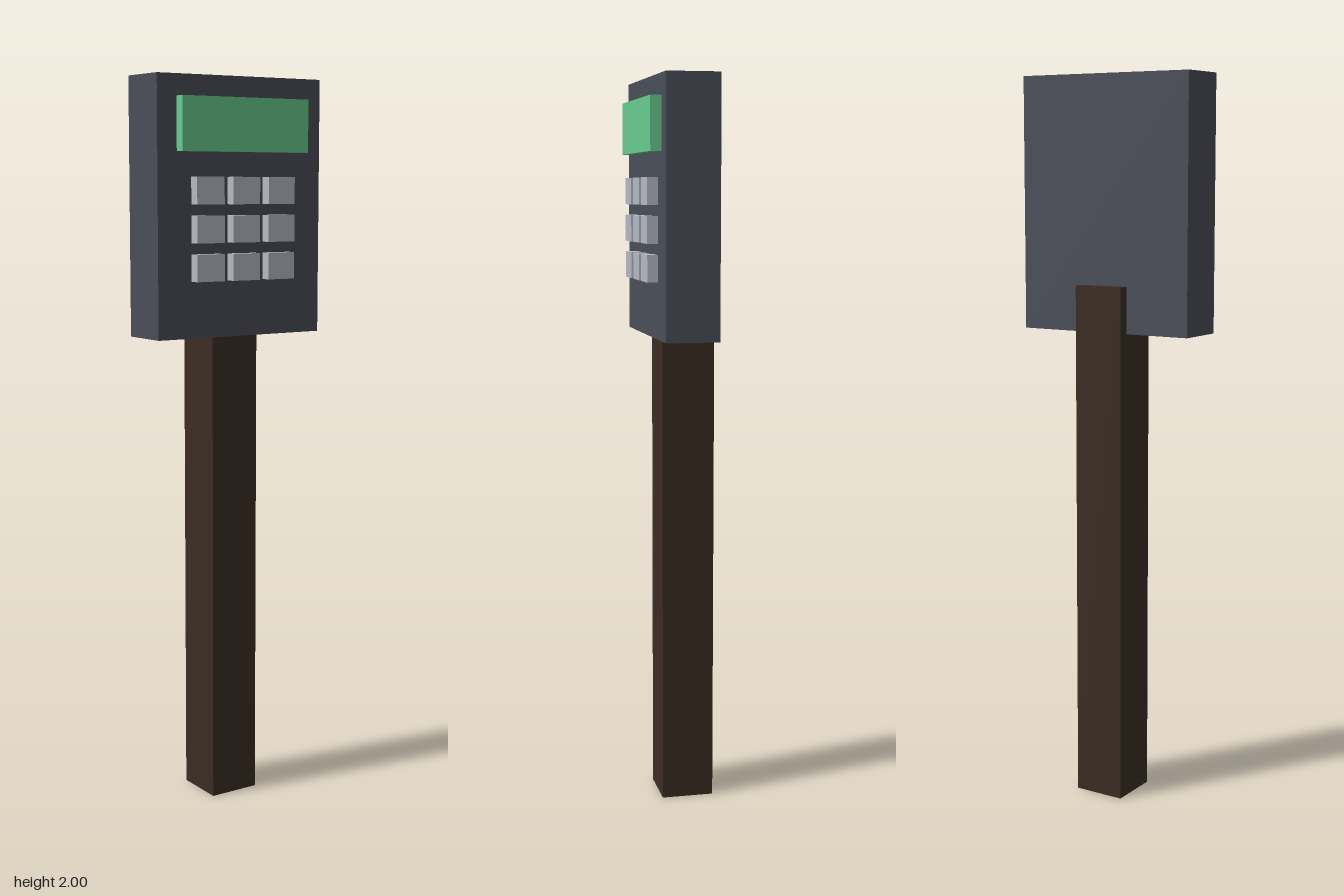
import * as THREE from 'three';

const material = (name, color) => {
  const m = new THREE.MeshStandardMaterial({ color });
  m.name = name;
  return m;
};

export function createModel() {
  const group = new THREE.Group();
  group.name = 'keypadOnPost';

  const slate = material('slate', 0x4a4e58);
  const green = material('screenGreen', 0x68cc90);
  const grey = material('buttonGrey', 0xb6bac4);
  const wood = material('darkWood', 0x3b2c22);

  // Box given by its limits on each axis
  const box = (name, mat, [x0, x1], [y0, y1], [z0, z1]) => {
    const mesh = new THREE.Mesh(new THREE.BoxGeometry(x1 - x0, y1 - y0, z1 - z0), mat);
    mesh.position.set((x0 + x1) / 2, (y0 + y1) / 2, (z0 + z1) / 2);
    mesh.name = name;
    group.add(mesh);
  };

  // Post, set back so that it shows behind the housing
  box('post', wood, [-0.072, 0.072], [0, 1.44], [-0.102, 0.042]);

  // Housing and display
  box('housing', slate, [-0.26, 0.26], [1.313, 2], [-0.073, 0.071]);
  box('screen', green, [-0.201, 0.201], [1.803, 1.944], [0.06, 0.1]);

  // Three by three keypad
  for (let row = 0; row < 3; row++) {
    for (let col = 0; col < 3; col++) {
      const x = (col - 1) * 0.114;
      const y = 1.702 - row * 0.101;
      box(`button${row * 3 + col + 1}`, grey, [x - 0.043, x + 0.043], [y - 0.036, y + 0.036], [0.06, 0.1]);
    }
  }
  return group;
}
